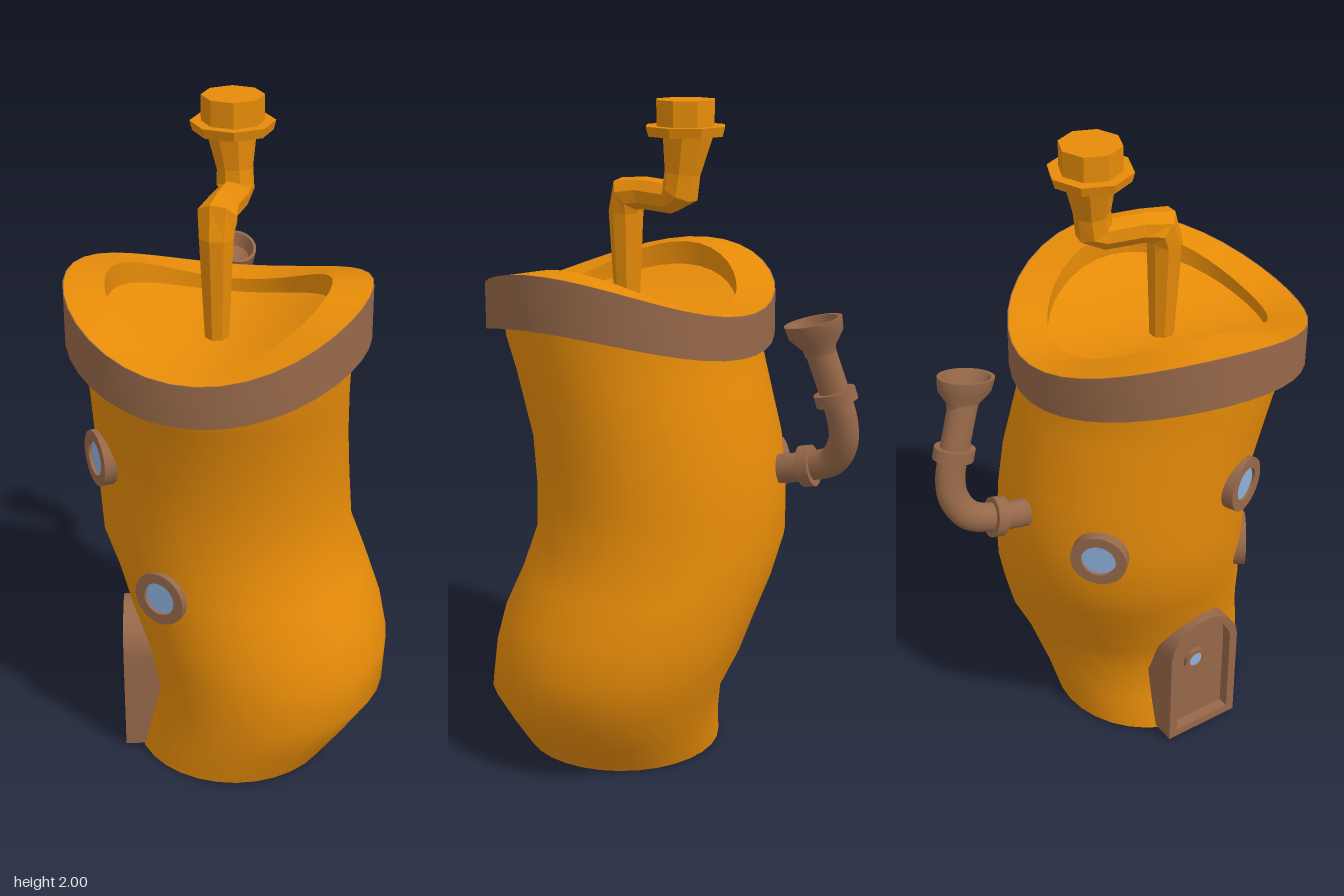
import * as THREE from 'three';
import { toCreasedNormals } from 'three/addons/utils/BufferGeometryUtils.js';

const V = (x, y, z) => new THREE.Vector3(x, y, z);
const paint = (color, extra = {}) => new THREE.MeshStandardMaterial({ color, ...extra });
const orange = paint(0xe68b08);
const orangeFlat = paint(0xe68b08, { flatShading: true });
const brown = paint(0x966849);
const brownThin = paint(0x966849, { side: THREE.DoubleSide });
const glass = paint(0x8fb0dc);

function add(parent, name, geometry, material, pos) {
  const m = new THREE.Mesh(geometry, material);
  m.name = name;
  if (pos) m.position.copy(pos);
  parent.add(m);
  return m;
}

// Skin a stack of rings, optionally closing the first and last
function loft(rings, crease, capStart, capEnd) {
  const n = rings[0].length, pos = [], idx = [];
  rings.forEach(r => r.forEach(p => pos.push(p.x, p.y, p.z)));
  for (let i = 0; i < rings.length - 1; i++) for (let j = 0; j < n; j++) {
    const a = i * n + j, b = i * n + (j + 1) % n;
    idx.push(a, b, a + n, b, b + n, a + n);
  }
  const cap = (k, flip) => {
    const c = rings[k].reduce((s, p) => s.add(p), V(0, 0, 0)).divideScalar(n);
    const ci = pos.length / 3;
    pos.push(c.x, c.y, c.z);
    for (let j = 0; j < n; j++) {
      const a = k * n + j, b = k * n + (j + 1) % n;
      flip ? idx.push(ci, b, a) : idx.push(ci, a, b);
    }
  };
  if (capStart) cap(0, true);
  if (capEnd) cap(rings.length - 1, false);
  const g = new THREE.BufferGeometry();
  g.setAttribute('position', new THREE.Float32BufferAttribute(pos, 3));
  g.setIndex(idx);
  g.computeVertexNormals();
  return toCreasedNormals(g, crease);
}

// Horizontal circle; y may be a number or a function of the angle
function ring(cx, cz, r, y, n = 32) {
  return Array.from({ length: n }, (_, j) => {
    const t = j / n * Math.PI * 2;
    return V(cx + r * Math.cos(t), typeof y === 'function' ? y(t) : y, cz - r * Math.sin(t));
  });
}

// Faceted bar with a changing radius along a bent path
function bar(points, radii, sides) {
  let u = V(1, 0, 0);
  const rings = points.map((p, i) => {
    const t = points[Math.min(i + 1, points.length - 1)].clone()
      .sub(points[Math.max(i - 1, 0)]).normalize();
    u = u.clone().addScaledVector(t, -u.dot(t)).normalize();
    const v = t.clone().cross(u);
    return Array.from({ length: sides }, (_, j) => {
      const a = (j + 0.5) / sides * Math.PI * 2;
      return p.clone().addScaledVector(u, radii[i] * Math.cos(a)).addScaledVector(v, radii[i] * Math.sin(a));
    });
  });
  return loft(rings, 0.3, true, true);
}

// Flat round frame facing +z
function frameRing(outer, inner, depth) {
  const s = new THREE.Shape().absarc(0, 0, outer, 0, Math.PI * 2);
  s.holes.push(new THREE.Path().absarc(0, 0, inner, 0, Math.PI * 2, true));
  const g = new THREE.ExtrudeGeometry(s, { depth, bevelEnabled: false, curveSegments: 14 });
  return toCreasedNormals(g.translate(0, 0, -depth / 2), 0.6);
}

function roundWindow(name, r, depth, pos, nx, nz) {
  const g = new THREE.Group();
  g.name = name;
  add(g, 'windowFrame', frameRing(r, r * 0.62, depth), brown);
  add(g, 'windowPane', new THREE.CylinderGeometry(r * 0.66, r * 0.66, depth * 0.6, 24).rotateX(Math.PI / 2), glass);
  g.position.copy(pos);
  g.rotation.y = Math.atan2(nx, nz);
  return g;
}

// Arched outline with a straight foot at the given base height
function arch(Type, half, height, base = 0) {
  const s = new Type();
  s.moveTo(-half, base);
  s.lineTo(half, base);
  s.lineTo(half, height - half);
  s.absarc(0, height - half, half, 0, Math.PI);
  s.lineTo(-half, base);
  return s;
}

export function createModel() {
  const model = new THREE.Group();
  model.name = 'stumpHouse';

  // Bent trunk: height, centre x, centre z, radius
  const trunk = [
    [0, 0, 0.165, 0.305], [0.1, 0.049, 0.172, 0.328], [0.22, 0.107, 0.17, 0.356],
    [0.35, 0.097, 0.132, 0.379], [0.46, 0.069, 0.105, 0.386], [0.58, 0.028, 0.065, 0.384],
    [0.7, -0.018, 0.04, 0.383], [0.85, -0.028, 0.043, 0.382], [1.0, -0.035, 0.06, 0.38],
    [1.2, -0.042, 0.115, 0.381], [1.3, -0.046, 0.145, 0.385], [1.4, -0.046, 0.152, 0.388]];
  add(model, 'trunk', loft(trunk.map(([y, x, z, r]) => ring(x, z, r, y)), 0.85, true), orange);

  // Saddle-shaped rim, slightly turned: outer band, top surface, inner wall and hollow floor
  const turn = 0.19;
  const top = t => 1.465 + 0.065 * Math.cos(2 * (t + turn));
  const low = t => 1.322 + 0.047 * Math.cos(2 * (t + turn));
  const floor = r => t => 1.358 + 0.1 * (r / 0.32 * Math.cos(t + turn)) ** 2;
  const rim = (r, y) => ring(-0.045, 0.152, r, y, 40);
  add(model, 'rimBand', loft([rim(0.36, low), rim(0.437, low), rim(0.437, top), rim(0.434, top)], 0.6), brown);
  add(model, 'rimTop', loft([rim(0.434, top), rim(0.32, top),
    ...[0.32, 0.24, 0.16, 0.08].map(r => rim(r, floor(r)))], 0.6, false, true), orange);

  // Cranked stem with flange and nut
  const crank = new THREE.Group();
  crank.name = 'crank';
  model.add(crank);
  add(crank, 'crankStem', bar(
    [V(-0.05, 1.34, 0.165), V(-0.051, 1.66, 0.168), V(-0.047, 1.715, 0.155), V(-0.032, 1.722, 0.1),
      V(0, 1.718, -0.005), V(0.007, 1.735, -0.033), V(0.006, 1.79, -0.04), V(-0.003, 1.91, -0.053)],
    [0.036, 0.052, 0.06, 0.048, 0.048, 0.056, 0.053, 0.076], 8), orangeFlat);
  add(crank, 'flange', new THREE.CylinderGeometry(0.122, 0.115, 0.028, 8), orangeFlat, V(0, 1.912, -0.047));
  add(crank, 'nut', new THREE.CylinderGeometry(0.09, 0.09, 0.08, 8), orangeFlat, V(0, 1.96, -0.047));

  // Round windows around the trunk
  model.add(
    roundWindow('upperWindow', 0.084, 0.05, V(-0.385, 1.0, 0.215), -0.92, 0.4),
    roundWindow('frontWindow', 0.084, 0.05, V(-0.213, 0.61, 0.358), -0.56, 0.83),
    roundWindow('backWindow', 0.084, 0.05, V(-0.303, 0.86, -0.22), -0.7, -0.72));

  // Arched doorway facing the model's right
  const door = new THREE.Group();
  door.name = 'door';
  door.position.set(-0.342, 0.008, 0.15);
  door.rotation.y = -Math.PI / 2;
  model.add(door);
  const frame = arch(THREE.Shape, 0.128, 0.452);
  frame.holes.push(arch(THREE.Path, 0.1, 0.424, 0.028));
  const extrude = (s, depth, z) => toCreasedNormals(
    new THREE.ExtrudeGeometry(s, { depth, bevelEnabled: false, curveSegments: 14 }).translate(0, 0, z), 0.6);
  add(door, 'doorFrame', extrude(frame, 0.2, -0.2), brown);
  add(door, 'doorPanel', extrude(arch(THREE.Shape, 0.105, 0.429, 0.02), 0.1, -0.135), brown);
  door.add(roundWindow('doorWindow', 0.04, 0.02, V(-0.015, 0.275, -0.032), 0, 1));

  // Bent chimney pipe with collars and a flared mouth, slightly flattened sideways
  const chimney = new THREE.Group();
  chimney.name = 'chimney';
  chimney.scale.x = 0.82;
  model.add(chimney);
  const path = new THREE.CatmullRomCurve3([
    V(-0.078, 0.905, -0.28), V(-0.072, 0.935, -0.42), V(-0.055, 0.965, -0.5), V(-0.03, 1.03, -0.538),
    V(-0.015, 1.1, -0.538), V(-0.006, 1.17, -0.518), V(0.015, 1.32, -0.468)]);
  add(chimney, 'chimneyPipe', new THREE.TubeGeometry(path, 40, 0.045, 16), brown);
  const aim = (mesh, dir) => mesh.quaternion.setFromUnitVectors(V(0, 1, 0), dir.normalize());
  const collar = new THREE.CylinderGeometry(0.063, 0.063, 0.036, 20);
  aim(add(chimney, 'lowerCollar', collar, brown, V(-0.072, 0.935, -0.42)), V(0.06, 0.22, -1));
  aim(add(chimney, 'upperCollar', collar, brown, V(-0.006, 1.17, -0.518)), V(0.1, 1, 0.3));
  const mouth = [[0.03, 0], [0.047, 0], [0.05, 0.02], [0.082, 0.06], [0.088, 0.1], [0.076, 0.1], [0.06, 0.06], [0, 0.03]]
    .map(([x, y]) => new THREE.Vector2(x, y));
  const cup = add(chimney, 'chimneyMouth', toCreasedNormals(new THREE.LatheGeometry(mouth, 24), 0.7),
    brownThin, V(0.015, 1.295, -0.475));
  cup.scale.x = 0.88;
  aim(cup, V(0.1, 1, 0.24));

  return model;
}
